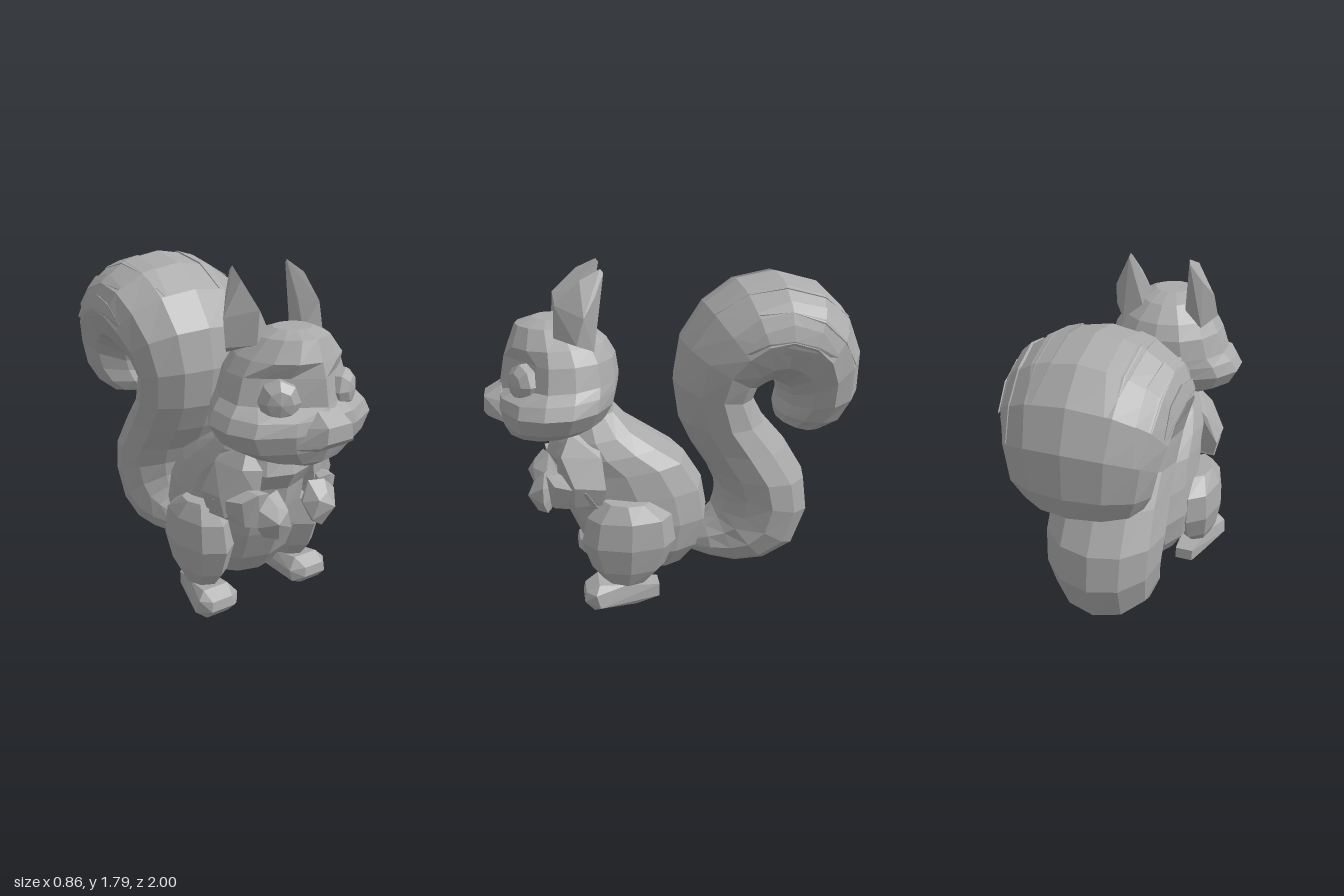
import * as THREE from 'three';
import { ConvexGeometry } from 'three/addons/geometries/ConvexGeometry.js';

const fur = new THREE.MeshStandardMaterial({ color: 0xaaaaaa, flatShading: true });
fur.name = 'greyFur';

// Ring: [frontZ, frontY, backZ, backY, halfWidth]; angle 0 is the front, 90 degrees is +x
function ringPoint(r, t, s = 1) {
  const c = Math.cos(t) * s / 2;
  return new THREE.Vector3(Math.sin(t) * s * r[4],
    (r[1] + r[3]) / 2 + (r[1] - r[3]) * c, (r[0] + r[2]) / 2 + (r[0] - r[2]) * c);
}

// Closed skin over a row of rings; adjust may move single points
function loft(rings, sides, adjust) {
  const pos = [], idx = [];
  rings.forEach((r, j) => {
    for (let i = 0; i < sides; i++) {
      const p = ringPoint(r, i / sides * Math.PI * 2);
      if (adjust) adjust(p, j, Math.min(i, sides - i));
      pos.push(p.x, p.y, p.z);
    }
  });
  for (let j = 0; j < rings.length - 1; j++) {
    for (let i = 0; i < sides; i++) {
      const a = j * sides + i, b = j * sides + (i + 1) % sides;
      idx.push(a, b, b + sides, a, b + sides, a + sides);
    }
  }
  const last = (rings.length - 1) * sides;
  for (let i = 1; i < sides - 1; i++) {
    idx.push(0, i + 1, i, last, last + i, last + i + 1);
  }
  const g = new THREE.BufferGeometry();
  g.setAttribute('position', new THREE.Float32BufferAttribute(pos, 3));
  g.setIndex(idx);
  g.computeVertexNormals();
  return g;
}

const hull = (pts, side = 1) =>
  new ConvexGeometry(pts.map(p => new THREE.Vector3(p[0] * side, p[1], p[2])));

export function createModel() {
  const model = new THREE.Group();
  const add = (name, geometry, parent = model) => {
    const m = new THREE.Mesh(geometry, fur);
    m.name = name;
    parent.add(m);
    return m;
  };

  // Body, bottom to neck, with a broad flat back and fluffy chest
  add('body', loft([
    [0.26, 0.09, 0.04, 0.08, 0.1],
    [0.42, 0.15, -0.05, 0.14, 0.22],
    [0.51, 0.27, -0.14, 0.26, 0.29],
    [0.58, 0.43, -0.19, 0.42, 0.31],
    [0.62, 0.58, -0.16, 0.59, 0.3],
    [0.64, 0.7, -0.06, 0.75, 0.29],
    [0.69, 0.79, 0.08, 0.84, 0.28],
    [0.66, 0.88, 0.22, 0.93, 0.25],
    [0.6, 1.0, 0.32, 1.04, 0.19],
  ], 12, (p, j, k) => {
    if (k === 5) p.x *= 1.4;
    if (k === 4) p.x *= 1.07;
  }));

  // Bushy tail, root to curled tip
  const tail = [
    [-0.06, 0.24, -0.1, 0.14, 0.08],
    [-0.17, 0.33, -0.2, 0.11, 0.18],
    [-0.23, 0.39, -0.35, 0.075, 0.23],
    [-0.24, 0.44, -0.52, 0.09, 0.27],
    [-0.24, 0.5, -0.69, 0.18, 0.29],
    [-0.23, 0.57, -0.77, 0.4, 0.31],
    [-0.19, 0.66, -0.745, 0.6, 0.32],
    [-0.1, 0.8, -0.63, 0.79, 0.31],
    [-0.03, 0.95, -0.5, 0.94, 0.31],
    [0, 1.16, -0.43, 1.07, 0.33],
    [-0.04, 1.38, -0.45, 1.13, 0.37],
    [-0.17, 1.57, -0.48, 1.15, 0.41],
    [-0.34, 1.69, -0.5, 1.16, 0.43],
    [-0.55, 1.73, -0.53, 1.16, 0.43],
    [-0.77, 1.67, -0.56, 1.14, 0.42],
    [-0.92, 1.53, -0.58, 1.12, 0.41],
    [-1.0, 1.34, -0.59, 1.08, 0.38],
    [-1.0, 1.11, -0.59, 1.03, 0.35],
    [-0.94, 0.97, -0.57, 0.97, 0.3],
    [-0.82, 0.89, -0.58, 0.92, 0.22],
    [-0.75, 0.875, -0.64, 0.89, 0.1],
  ];
  add('tail', loft(tail, 12));

  // Pointed fur locks lying on the curl
  const lockWidths = [0.02, 0.1, 0.14, 0.13, 0.02];
  [0.45, 0.95, 1.4].forEach((t, k) => {
    for (const s of [1, -1]) {
      const pts = [ringPoint(tail[13], s * t, 0.8)];
      lockWidths.forEach((w, i) => {
        for (const d of [-w, w]) pts.push(ringPoint(tail[11 + i + k % 2], s * (t + d)));
      });
      add('tailLock', new ConvexGeometry(pts));
    }
  });

  // Head with wide cheeks and sunken eye sockets
  const head = new THREE.Group();
  head.name = 'head';
  model.add(head);
  add('skull', loft([
    [0.82, 0.885, 0.53, 0.885, 0.09],
    [0.89, 0.93, 0.45, 0.94, 0.25],
    [0.92, 1.0, 0.36, 1.01, 0.38],
    [0.94, 1.09, 0.31, 1.1, 0.43],
    [0.93, 1.15, 0.295, 1.17, 0.395],
    [0.91, 1.2, 0.29, 1.22, 0.35],
    [0.885, 1.33, 0.305, 1.33, 0.31],
    [0.86, 1.4, 0.35, 1.41, 0.265],
    [0.82, 1.5, 0.44, 1.49, 0.175],
    [0.73, 1.53, 0.55, 1.53, 0.1],
  ], 14, (p, j, k) => {
    if ((j === 5 || j === 6) && (k === 1 || k === 2)) p.z -= 0.06;
    if (j >= 2 && j <= 4 && k === 2) p.x *= 1.06;
  }), head);

  // Muzzle ridge ending in the nose
  const muzzle = [];
  for (const s of [1, -1]) {
    muzzle.push([0.06 * s, 1.19, 0.905], [0.13 * s, 1.12, 0.9], [0.07 * s, 1.135, 0.995],
      [0.08 * s, 1.06, 1.0], [0.1 * s, 1.04, 0.98], [0.08 * s, 1.01, 0.94],
      [0.2 * s, 1.02, 0.87]);
  }
  add('muzzle', hull(muzzle), head);

  for (const s of [1, -1]) {
    const side = s > 0 ? 'left' : 'right';

    // Eye, turned outward
    const eye = add(side + 'Eye', new THREE.SphereGeometry(0.1, 8, 5), head);
    eye.geometry.rotateX(Math.PI / 2);
    eye.scale.set(1.05, 1.08, 0.7);
    eye.position.set(0.19 * s, 1.23, 0.785);
    eye.rotation.y = 0.55 * s;

    // Pointed ear leaning back
    add(side + 'Ear', hull([
      [0.165, 1.79, 0.385], [0.17, 1.77, 0.37], [0.19, 1.74, 0.49], [0.23, 1.66, 0.42],
      [0.18, 1.62, 0.62], [0.13, 1.62, 0.52], [0.285, 1.57, 0.48], [0.1, 1.49, 0.6],
      [0.2, 1.46, 0.63], [0.12, 1.43, 0.48], [0.3, 1.44, 0.52], [0.23, 1.39, 0.43],
    ], s), head);

    // Upper arm from shoulder to elbow
    add(side + 'UpperArm', hull([
      [0.2, 0.95, 0.57], [0.19, 0.95, 0.42], [0.27, 0.85, 0.62], [0.29, 0.84, 0.42],
      [0.36, 0.71, 0.56], [0.36, 0.69, 0.4], [0.34, 0.6, 0.42], [0.33, 0.59, 0.56],
      [0.16, 0.83, 0.64], [0.18, 0.68, 0.64], [0.2, 0.6, 0.45],
    ], s));

    // Forearm from elbow to wrist
    add(side + 'Forearm', hull([
      [0.36, 0.68, 0.5], [0.34, 0.58, 0.44], [0.24, 0.57, 0.46], [0.25, 0.74, 0.5],
      [0.3, 0.7, 0.66], [0.28, 0.57, 0.66], [0.2, 0.55, 0.68], [0.16, 0.6, 0.66],
      [0.16, 0.73, 0.69], [0.23, 0.74, 0.7],
    ], s));

    // Paw drooping in front of the chest
    add(side + 'Paw', hull([
      [0.1, 0.73, 0.68], [0.18, 0.73, 0.71], [0.24, 0.67, 0.72], [0.16, 0.68, 0.76],
      [0.1, 0.65, 0.77], [0.05, 0.63, 0.7], [0.18, 0.61, 0.8], [0.25, 0.58, 0.72],
      [0.07, 0.55, 0.76], [0.14, 0.5, 0.75], [0.2, 0.51, 0.7], [0.13, 0.5, 0.68],
      [0.1, 0.6, 0.63],
    ], s));

    // Thigh
    const thigh = add(side + 'Thigh', loft([
      [0.41, 0.13, 0.18, 0.13, 0.08],
      [0.48, 0.22, 0.09, 0.21, 0.115],
      [0.53, 0.37, 0.03, 0.35, 0.14],
      [0.5, 0.51, 0.05, 0.5, 0.125],
      [0.41, 0.6, 0.17, 0.58, 0.075],
    ], 8));
    thigh.position.x = 0.292 * s;

    // Foot, toes pointing forward
    add(side + 'Foot', hull([
      [0.19, 0.03, 0.48], [0.18, 0.09, 0.47], [0.23, 0.15, 0.45], [0.38, 0.15, 0.45],
      [0.42, 0.11, 0.47], [0.43, 0.04, 0.45], [0.38, 0.005, 0.48], [0.25, 0.005, 0.48],
      [0.24, 0.06, 0.53], [0.38, 0.06, 0.53], [0.37, 0.11, 0.52], [0.25, 0.11, 0.52],
      [0.24, 0, 0.25], [0.34, 0, 0.25], [0.22, 0.13, 0.3], [0.36, 0.13, 0.3],
      [0.21, 0.02, 0.12], [0.31, 0.02, 0.12], [0.21, 0.09, 0.12], [0.31, 0.09, 0.12],
    ], s));
  }
  return model;
}
